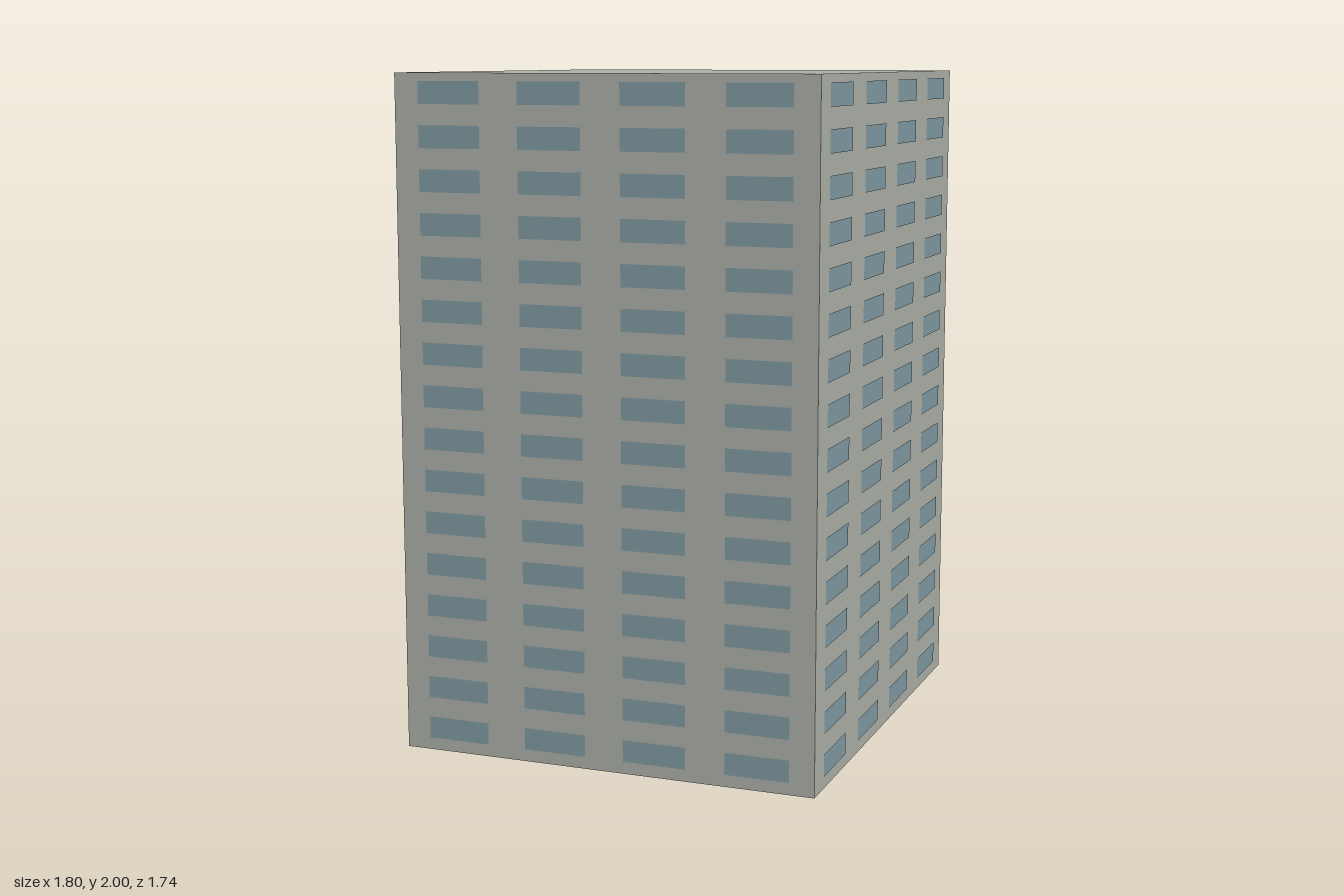
import * as THREE from 'three';
import { mergeGeometries } from 'three/addons/utils/BufferGeometryUtils.js';

const WIDTH = 1.398, DEPTH = 1.275, HEIGHT = 2;
const TURN = THREE.MathUtils.degToRad(24.7);
const COLUMNS = 4, ROWS = 16;

const concrete = new THREE.MeshStandardMaterial({ color: 0xb0b2ab, side: THREE.DoubleSide });
concrete.name = 'concrete grey';
const glass = new THREE.MeshStandardMaterial({ color: 0x829ca5 });
glass.name = 'window blue';

// Grid of window panes lying just in front of a wall in the local xy plane
function windowGrid(wallWidth) {
  const panes = [];
  for (let row = 0; row < ROWS; row++) {
    for (let col = 0; col < COLUMNS; col++) {
      const pane = new THREE.PlaneGeometry(wallWidth * 0.151, 0.065);
      const x = (col - (COLUMNS - 1) / 2) * 0.244 * wallWidth;
      pane.translate(x, 0.069 + row * 0.125, 0.002);
      panes.push(pane);
    }
  }
  return mergeGeometries(panes);
}

// One facade: plain wall plus its windows, facing the given direction
function facade(name, wallWidth, distance, angle) {
  const side = new THREE.Group();
  side.name = name;
  const wall = new THREE.Mesh(new THREE.PlaneGeometry(wallWidth, HEIGHT), concrete);
  wall.name = 'wall';
  wall.position.y = HEIGHT / 2;
  const windows = new THREE.Mesh(windowGrid(wallWidth), glass);
  windows.name = 'windows';
  side.add(wall, windows);
  side.rotation.y = angle;
  side.position.set(Math.sin(angle) * distance, 0, Math.cos(angle) * distance);
  return side;
}

export function createModel() {
  const tower = new THREE.Group();
  tower.name = 'towerBlock';

  // Four facades around a hollow block that is open underneath
  ['frontFacade', 'leftFacade', 'backFacade', 'rightFacade'].forEach((name, i) => {
    const [w, d] = i % 2 ? [DEPTH, WIDTH] : [WIDTH, DEPTH];
    tower.add(facade(name, w, d / 2, i * Math.PI / 2));
  });

  // Flat roof
  const roof = new THREE.Mesh(new THREE.PlaneGeometry(WIDTH, DEPTH), concrete);
  roof.name = 'roof';
  roof.rotation.x = -Math.PI / 2;
  roof.position.y = HEIGHT;
  tower.add(roof);

  // The block stands turned on its plot
  tower.rotation.y = TURN;
  const model = new THREE.Group();
  model.name = 'building';
  model.add(tower);
  return model;
}
